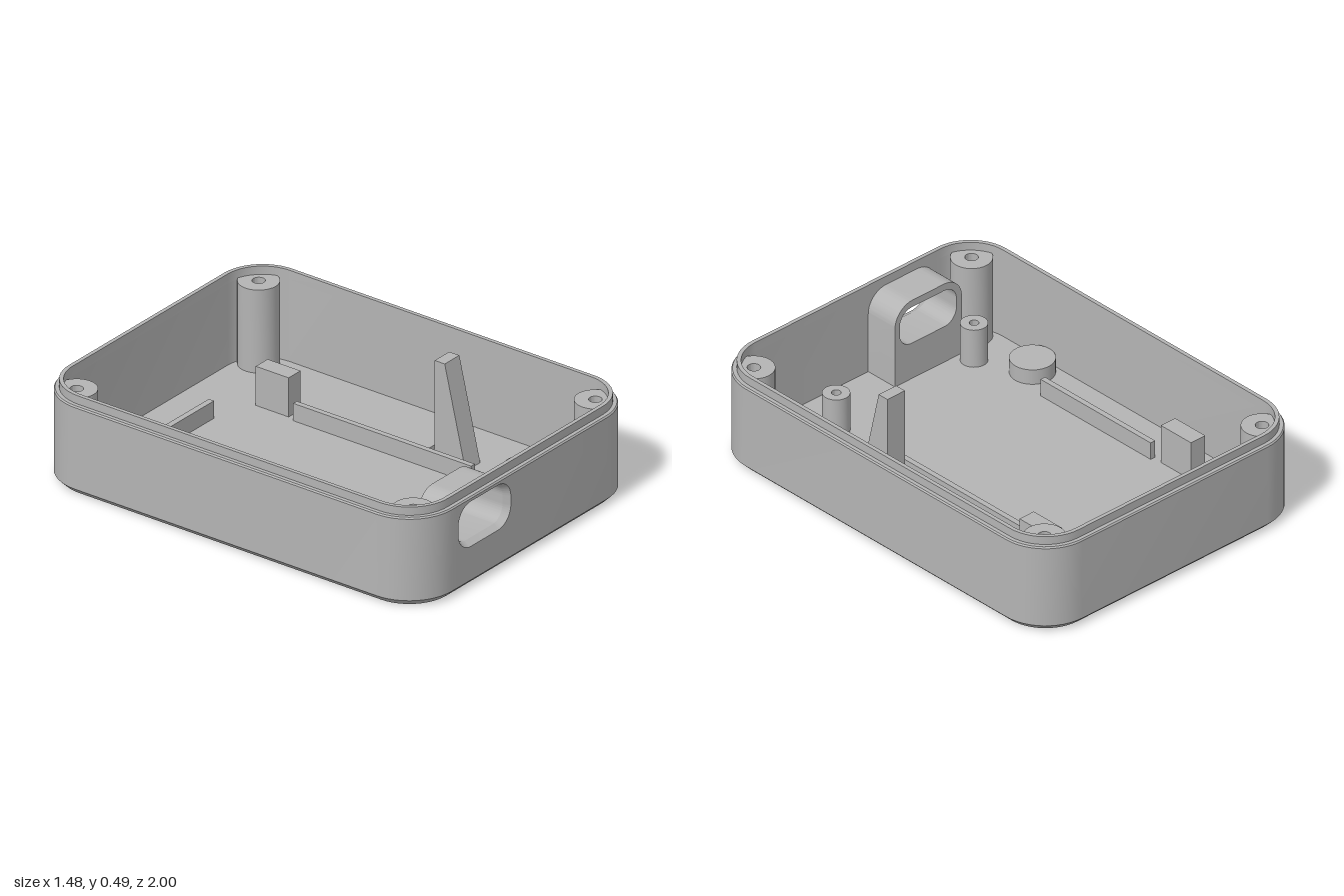
import * as THREE from 'three';
import { toCreasedNormals } from 'three/addons/utils/BufferGeometryUtils.js';

const HALF_X = 0.74, HALF_Z = 1, CORNER = 0.22, FLOOR = 0.03;
const PORT = { x0: -0.49, x1: -0.115 };

// Rounded-rectangle plan, starting and ending on the front edge either side of the port
function plan(inset) {
  const r = CORNER - inset, front = HALF_Z - inset, pts = [[PORT.x1, front]];
  const centres = [[1, 1], [1, -1], [-1, -1], [-1, 1]];
  centres.forEach(([sx, sz], k) => {
    for (let i = 0; i <= 12; i++) {
      const a = Math.PI / 2 * (1 - k - i / 12);
      pts.push([sx * (HALF_X - CORNER) + r * Math.cos(a), sz * (HALF_Z - CORNER) + r * Math.sin(a)]);
    }
  });
  pts.push([PORT.x0, front]);
  return pts;
}

// Skin a list of equal-length rings of 3D points
function loft(rings, closed) {
  const n = rings[0].length, index = [];
  for (let j = 0; j < rings.length - 1; j++) {
    for (let i = 0; i < (closed ? n : n - 1); i++) {
      const a = j * n + i, b = j * n + (i + 1) % n;
      index.push(a, b, b + n, a, b + n, a + n);
    }
  }
  const g = new THREE.BufferGeometry();
  g.setAttribute('position', new THREE.Float32BufferAttribute(rings.flat(2), 3));
  g.setIndex(index);
  return toCreasedNormals(g, 0.5);
}

const band = (profile, closed) =>
  loft(profile.map(([inset, y]) => plan(inset).map(([x, z]) => [x, y, z])), closed);

function roundedRect(x0, x1, y0, y1, r, Type = THREE.Path) {
  const p = new Type();
  p.moveTo(x0 + r, y0);
  p.lineTo(x1 - r, y0);
  p.absarc(x1 - r, y0 + r, r, -Math.PI / 2, 0);
  p.lineTo(x1, y1 - r);
  p.absarc(x1 - r, y1 - r, r, 0, Math.PI / 2);
  p.lineTo(x0 + r, y1);
  p.absarc(x0 + r, y1 - r, r, Math.PI / 2, Math.PI);
  p.lineTo(x0, y0 + r);
  p.absarc(x0 + r, y0 + r, r, Math.PI, Math.PI * 1.5);
  return p;
}

const extrude = (shape, depth) => toCreasedNormals(
  new THREE.ExtrudeGeometry(shape, { depth, bevelEnabled: false, curveSegments: 12 }), 0.5);

const lathe = (profile) => toCreasedNormals(
  new THREE.LatheGeometry(profile.map(([r, y]) => new THREE.Vector2(r, y)), 32), 0.5);

export function createModel() {
  const model = new THREE.Group();
  model.name = 'enclosureBase';
  const grey = new THREE.MeshStandardMaterial({ color: 0xb4b4b4 });
  grey.name = 'grey plastic';

  const add = (name, geometry, x = 0, y = 0, z = 0) => {
    const mesh = new THREE.Mesh(geometry, grey);
    mesh.name = name;
    mesh.position.set(x, y, z);
    model.add(mesh);
    return mesh;
  };
  const block = (name, x0, x1, z0, z1, top) => add(name,
    new THREE.BoxGeometry(x1 - x0, top - FLOOR, z1 - z0),
    (x0 + x1) / 2, (top + FLOOR) / 2, (z0 + z1) / 2);

  // Floor with screw holes and a slot
  const floor = new THREE.Shape(plan(0.03).map(([x, z]) => new THREE.Vector2(x, -z)));
  const corners = [[1, 1], [1, -1], [-1, -1], [-1, 1]].map(([sx, sz]) => [sx * 0.61, sz * 0.87]);
  for (const [x, z] of corners) {
    floor.holes.push(new THREE.Path().absarc(x, -z, 0.047, 0, Math.PI * 2));
  }
  floor.holes.push(roundedRect(0.355, 0.545, -0.215, -0.145, 0.0345));
  add('floor', extrude(floor, FLOOR).rotateX(-Math.PI / 2));

  // Chamfered foot, walls with a gap for the port, and the stepped rim
  add('bottomChamfer', band([[0.03, 0], [0, FLOOR]], true));
  add('outerWall', band([[0, FLOOR], [0, 0.405]], false));
  add('innerWall', band([[0.04, 0.405], [0.04, FLOOR]], false));
  add('rim', band([[0, 0.405], [0.005, 0.412], [0.022, 0.412], [0.022, 0.45],
    [0.04, 0.45], [0.04, 0.405]], true));

  // Port: wall panel, tapered mouth and inner tunnel
  const { x0, x1 } = PORT;
  const bigHole = () => roundedRect(-0.477, -0.125, 0.185, 0.392, 0.085);
  const smallHole = () => roundedRect(-0.46, -0.142, 0.202, 0.377, 0.068);
  const panel = new THREE.Shape();
  panel.moveTo(x0, FLOOR).lineTo(x1, FLOOR).lineTo(x1, 0.405).lineTo(x0, 0.405);
  panel.holes.push(bigHole());
  add('portPanel', extrude(panel, 0.04), 0, 0, 0.96);

  const ring = (path, z) => path.getPoints(12).slice(0, -1).map((p) => [p.x, p.y, z]);
  add('portMouth', loft([ring(bigHole(), 1), ring(smallHole(), 0.97)], true));

  const tunnel = new THREE.Shape();
  tunnel.moveTo(x0, FLOOR).lineTo(x1, FLOOR).lineTo(x1, 0.31);
  tunnel.absarc(x1 - 0.1, 0.31, 0.1, 0, Math.PI / 2);
  tunnel.absarc(x0 + 0.1, 0.31, 0.1, Math.PI / 2, Math.PI);
  tunnel.holes.push(smallHole());
  add('portTunnel', extrude(tunnel, 0.17), 0, 0, 0.8);

  // Corner screw posts, counterbored from below
  const post = lathe([[0.088, FLOOR], [0.088, 0.412], [0.028, 0.412], [0.028, 0.14],
    [0.047, 0.14], [0.047, 0]]);
  for (const [x, z] of corners) add('screwPost', post, x, 0, z);

  // Board standoffs and low round pad
  const standoff = lathe([[0.058, FLOOR], [0.058, 0.21], [0.02, 0.21], [0.02, 0.06], [0, 0.06]]);
  for (const x of [-0.493, 0.28]) add('standoff', standoff, x, 0, 0.73);
  add('roundPad', new THREE.CylinderGeometry(0.096, 0.096, 0.07, 32), -0.605, FLOOR + 0.035, 0.5);

  // Ribs and support blocks
  block('leftRib', -0.53, -0.505, -0.315, 0.345, 0.11);
  block('rightRib', 0.29, 0.315, -0.445, 0.475, 0.11);
  block('backRib', -0.33, 0.11, -0.742, -0.715, 0.11);
  block('supportBlock', -0.6, -0.52, -0.54, -0.36, 0.21);
  block('supportBlock', 0.305, 0.385, -0.65, -0.48, 0.21);

  // Tapered upright with a sloping front, profile drawn in z and y
  const upright = new THREE.Shape();
  upright.moveTo(0.23, FLOOR).lineTo(0.39, FLOOR).lineTo(0.282, 0.49).lineTo(0.23, 0.49);
  add('taperedUpright', extrude(upright, 0.098).rotateY(-Math.PI / 2), 0.461);

  return model;
}
